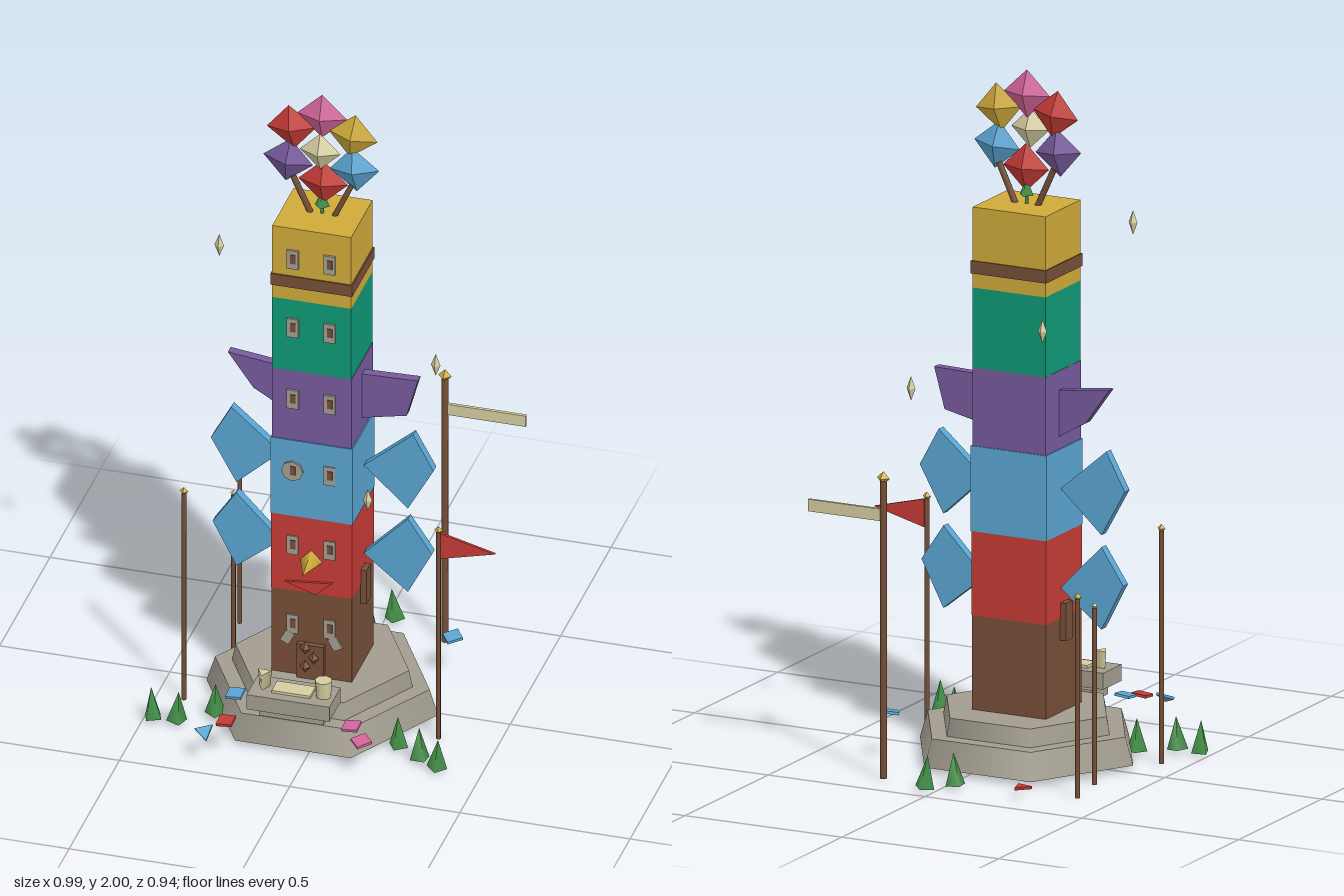
import * as THREE from 'three';

const mat = (name, color, opts = {}) => {
  const m = new THREE.MeshStandardMaterial({ color, ...opts });
  m.name = name;
  return m;
};

export function createModel() {
  const M = {
    brown: mat('brown wood', 0x774f38), red: mat('red', 0xc63b35), blue: mat('blue', 0x5aa5d2),
    purple: mat('purple', 0x775a9c), green: mat('teal green', 0x0f9875), yellow: mat('yellow', 0xcfaa3a),
    stone: mat('grey stone', 0xa39d90), cream: mat('cream', 0xd6cda0), pink: mat('pink', 0xd2659b),
    leaf: mat('leaf green', 0x429048),
  };
  const root = new THREE.Group();
  const add = (name, geo, m, x, y, z, rx = 0, ry = 0, rz = 0) => {
    const mesh = new THREE.Mesh(geo, m);
    mesh.name = name;
    mesh.position.set(x, y, z);
    mesh.rotation.set(rx, ry, rz);
    root.add(mesh);
    return mesh;
  };
  const box = (name, m, w, h, d, x, y, z, ...r) => add(name, new THREE.BoxGeometry(w, h, d), m, x, y, z, ...r);
  const gem = (name, m, a, b, c, x, y, z, ...r) =>
    add(name, new THREE.OctahedronGeometry(1).scale(a, b, c), m, x, y, z, ...r);
  const plate = (name, m, pts, depth, z) => {
    const shape = new THREE.Shape(pts.map(p => new THREE.Vector2(...p)));
    const geo = new THREE.ExtrudeGeometry(shape, { depth, bevelEnabled: false });
    return add(name, geo, m, 0, 0, z - depth / 2);
  };
  // rod between two points
  const rod = (name, m, a, b, r) => {
    const A = new THREE.Vector3(...a), B = new THREE.Vector3(...b), d = B.clone().sub(A);
    const mesh = add(name, new THREE.CylinderGeometry(r, r, d.length(), 6), m, 0, 0, 0);
    mesh.position.copy(A).add(B).multiplyScalar(0.5);
    mesh.quaternion.setFromUnitVectors(new THREE.Vector3(0, 1, 0), d.normalize());
  };
  const CX = -0.043, CZ = 0.03;

  // two-tier hexagonal plinth, corners on the x axis
  const hex = (name, r1, r0, y0, y1) =>
    add(name, new THREE.CylinderGeometry(r1, r0, y1 - y0, 6), M.stone, CX, (y0 + y1) / 2, CZ, 0, Math.PI / 6);
  hex('lowerPlinth', 0.315, 0.34, 0.013, 0.093);
  hex('upperPlinth', 0.255, 0.265, 0.093, 0.145);

  // stacked storeys
  [
    ['brownStorey', M.brown, 0.145, 0.42, 0.236, 0.214],
    ['redStorey', M.red, 0.42, 0.665, 0.238, 0.217],
    ['blueStorey', M.blue, 0.665, 0.914, 0.241, 0.218],
    ['purpleStorey', M.purple, 0.914, 1.142, 0.234, 0.212],
    ['greenStorey', M.green, 1.142, 1.375, 0.232, 0.212],
    ['yellowStorey', M.yellow, 1.375, 1.61, 0.232, 0.212],
    ['brownBand', M.brown, 1.417, 1.454, 0.24, 0.22],
  ].forEach(([n, m, y0, y1, w, d]) => box(n, m, w, y1 - y0, d, CX, (y0 + y1) / 2, CZ));

  // windows on the front
  [1.51, 1.285, 1.05, 0.815, 0.57, 0.31].forEach((y, row) => {
    for (const x of [-0.098, 0.01]) {
      if (row === 3 && x < 0) {
        add('roundWindow', new THREE.CylinderGeometry(0.032, 0.032, 0.009, 8), M.stone, x, y, 0.141, Math.PI / 2, 0, 0);
      } else {
        box('windowFrame', M.stone, 0.034, 0.06, 0.009, x, y, 0.138);
      }
      box('windowPane', M.brown, 0.015, 0.028, 0.004, x + 0.002, y + 0.003, row === 3 && x < 0 ? 0.146 : 0.143);
    }
  });
  // broken sills below the lowest windows
  for (const s of [-1, 1]) {
    box('brokenSill', M.stone, 0.028, 0.04, 0.008, CX + s * 0.07, 0.265, 0.139, 0, 0, s * 0.5);
    box('sideBracket', M.brown, 0.026, 0.11, 0.042, CX + s * 0.123, 0.41, CZ);
  }

  // face and doorway
  add('beak', new THREE.ConeGeometry(0.034, 0.09, 4), M.yellow, CX, 0.527, 0.18, Math.PI / 2, 0, 0);
  plate('mouth', M.red, [[-0.12, 0.45], [-0.03, 0.42], [0.02, 0.465]], 0.008, 0.142);
  box('door', M.brown, 0.08, 0.11, 0.02, CX, 0.2, 0.144);
  for (const [x, y] of [[-0.055, 0.25], [-0.03, 0.22], [-0.055, 0.19]]) gem('doorKnob', M.brown, 0.016, 0.02, 0.018, x, y, 0.162);

  // wings, thin plates on each side
  [
    ['upperBlueWing', M.blue, [[-0.165, 0.8], [-0.31, 0.925], [-0.37, 0.815], [-0.295, 0.68]]],
    ['lowerBlueWing', M.blue, [[-0.165, 0.51], [-0.295, 0.645], [-0.365, 0.54], [-0.295, 0.405]]],
  ].forEach(([n, m, pts]) => {
    plate(n, m, pts, 0.028, 0.018);
    plate(n, m, pts.map(([x, y]) => [2 * CX - x, y]).reverse(), 0.028, 0.018);
  });
  plate('purpleWing', M.purple, [[-0.15, 1.085], [-0.32, 1.105], [-0.245, 1.0], [-0.15, 0.945]], 0.028, 0.018);
  plate('purpleWing', M.purple, [[0.06, 1.1], [0.06, 0.953], [0.205, 0.985], [0.238, 1.105]], 0.028, 0.018);

  // bouquet of faceted blooms on the roof
  [
    [M.pink, -0.043, 1.93, 0], [M.red, -0.133, 1.88, 0.12], [M.yellow, 0.047, 1.88, -0.12],
    [M.purple, -0.143, 1.77, -0.1], [M.blue, 0.052, 1.77, 0.1], [M.red, -0.04, 1.715, 0],
  ].forEach(([m, x, y, rz]) => gem('bloom', m, 0.073, 0.07, 0.03, x, y, 0.032, 0, 0, rz));
  gem('centreBloom', M.cream, 0.06, 0.058, 0.03, CX, 1.825, 0.052);
  rod('stem', M.brown, [-0.075, 1.6, CZ], [-0.13, 1.72, CZ], 0.009);
  rod('stem', M.brown, [-0.01, 1.6, CZ], [0.045, 1.72, CZ], 0.009);
  rod('stem', M.leaf, [CX, 1.6, CZ], [CX, 1.7, CZ], 0.005);
  add('bouquetLeaf', new THREE.ConeGeometry(0.022, 0.05, 4), M.leaf, CX, 1.66, CZ);

  // offering table
  box('tableTop', M.stone, 0.243, 0.048, 0.112, CX, 0.176, 0.316);
  box('tableFoot', M.stone, 0.19, 0.035, 0.1, CX, 0.135, 0.29);
  box('tableCloth', M.cream, 0.113, 0.008, 0.055, CX, 0.204, 0.315);
  add('cup', new THREE.CylinderGeometry(0.025, 0.022, 0.052, 8), M.cream, 0.045, 0.226, 0.317);
  add('bowl', new THREE.CylinderGeometry(0.024, 0.018, 0.05, 3), M.cream, -0.13, 0.225, 0.317);

  // poles with finials: x, z, top, radius, finial size
  [
    [-0.42, 0.13, 0.68, 0.007, 0.013, M.yellow], [-0.387, -0.312, 0.58, 0.007, 0.013, M.yellow],
    [-0.36, -0.16, 0.515, 0.007, 0.01, M.cream], [0.196, -0.38, 0.87, 0.01, 0.02, M.yellow],
    [0.328, 0.13, 0.68, 0.007, 0.013, M.yellow],
  ].forEach(([x, z, top, r, f, m]) => {
    rod('pole', M.brown, [x, 0, z], [x, top, z], r);
    gem('finial', m, f, f, f, x, top + 0.006, z);
  });
  box('creamPennant', M.cream, 0.235, 0.035, 0.01, 0.317, 0.768, -0.38);
  plate('redFlag', M.red, [[0.335, 0.595], [0.495, 0.637], [0.335, 0.678]], 0.008, 0.13);

  // grass tufts
  [[0.025, -0.445], [-0.03, -0.38], [-0.31, 0.19], [-0.475, 0.26], [-0.4, 0.26], [0.235, 0.215], [0.31, 0.26], [0.375, 0.3]]
    .forEach(([x, z], i) => add('grassTuft', new THREE.ConeGeometry(0.03, 0.095, 4), M.leaf,
      x, 0.057, z, 0.08 * Math.sin(i * 2), i * 0.9, 0.1 * Math.cos(i * 3)));

  // small floating birds
  [[-0.3, 1.55, 0.185], [-0.21, 1.31, -0.19], [0.245, 1.07, -0.122], [0.157, 0.83, 0.257]]
    .forEach(([x, y, z]) => gem('bird', M.cream, 0.014, 0.036, 0.013, x, y, z));

  // scattered paper squares and scraps
  [
    [M.blue, 0.275, 0.14, -0.19, 0.6], [M.blue, -0.225, 0.14, 0.28, 0], [M.red, -0.22, 0.115, 0.39, 0],
    [M.pink, 0.125, 0.11, 0.31, 0], [M.pink, 0.175, 0.11, 0.38, 0.7],
  ].forEach(([m, x, y, z, ry]) => box('paperSquare', m, 0.046, 0.008, 0.046, x, y, z, 0.1, ry, 0.1));
  const scrap = () => new THREE.CylinderGeometry(0.03, 0.03, 0.008, 3);
  add('paperScrap', scrap(), M.red, -0.245, 0.03, -0.38, 0, 0.8, 0);
  add('paperScrap', scrap(), M.blue, -0.268, 0.1, 0.44, 0.6, 0.4, 0);

  return root;
}
